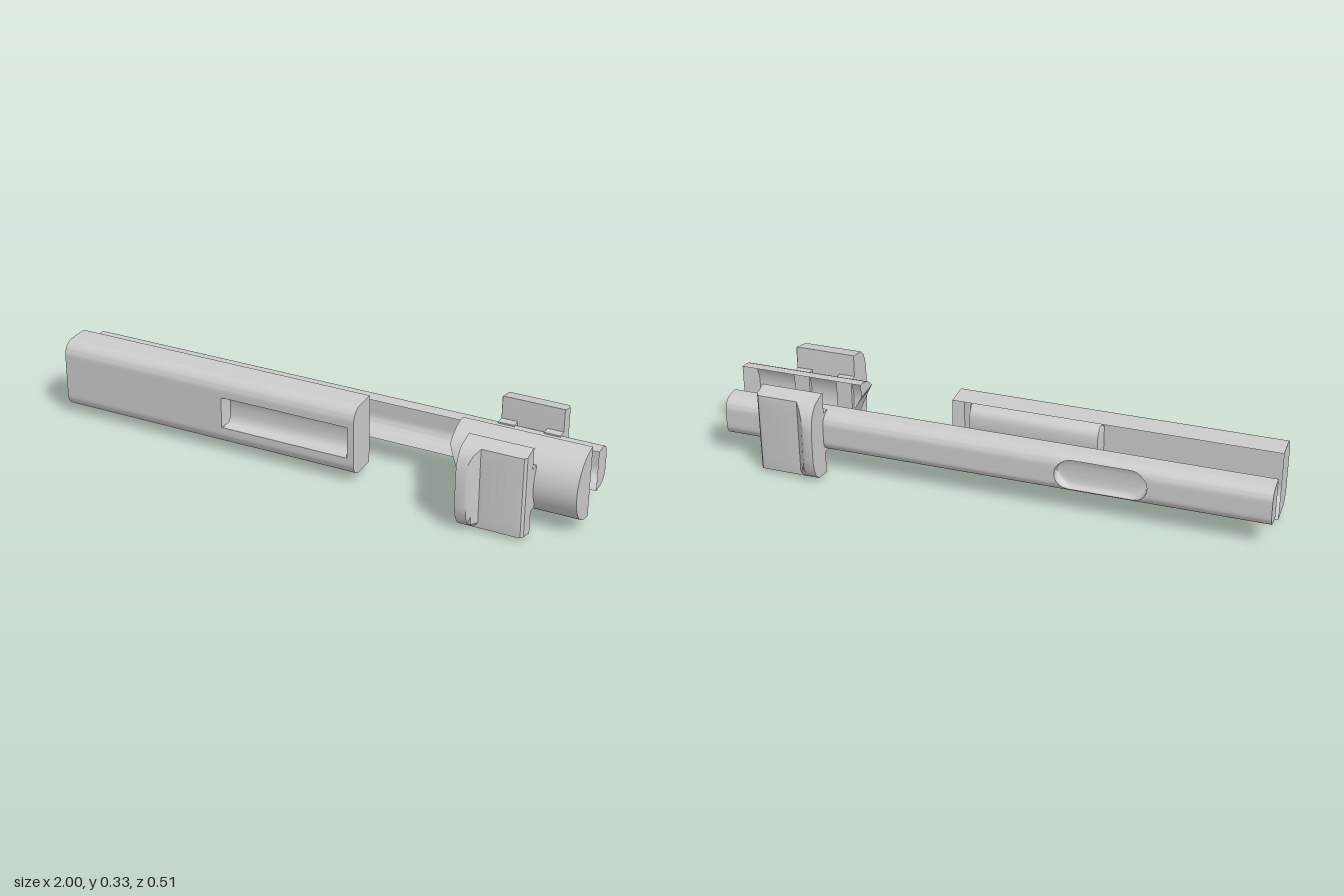
import * as THREE from 'three';
import { toCreasedNormals } from 'three/addons/utils/BufferGeometryUtils.js';

const MID = 0.165; // height of the long axis
const material = new THREE.MeshStandardMaterial({ color: 0xcccccc, side: THREE.DoubleSide });

// Skin over sections that follow each other along x; the ends are closed back to z = base.
// side = -1 mirrors the part to the back.
function loft(name, sections, base, side = 1) {
  const pos = [];
  const tri = (a, b, c) => {
    const pts = (side > 0 ? [a, b, c] : [a, c, b]).map(p => new THREE.Vector3(p[0], p[1], p[2] * side));
    if (new THREE.Triangle(...pts).getArea() > 1e-9) pts.forEach(p => pos.push(p.x, p.y, p.z));
  };
  const quad = (a, b, c, d) => { tri(a, b, c); tri(c, b, d); };
  const flat = p => [p[0], p[1], base];
  const last = sections[sections.length - 1];
  for (let j = 0; j < last.length - 1; j++) {
    for (let i = 0; i < sections.length - 1; i++) {
      const s = sections[i], t = sections[i + 1];
      quad(s[j], s[j + 1], t[j], t[j + 1]);
    }
    const f = sections[0];
    quad(f[j], flat(f[j]), f[j + 1], flat(f[j + 1]));
    quad(last[j], last[j + 1], flat(last[j]), flat(last[j + 1]));
  }
  const geo = new THREE.BufferGeometry();
  geo.setAttribute('position', new THREE.Float32BufferAttribute(pos, 3));
  const mesh = new THREE.Mesh(toCreasedNormals(geo, 0.6), material);
  mesh.name = name;
  return mesh;
}

// Half-round section, open at z = base: half height H, front at z = front, corner radius r.
// A recess of half height h and given depth is pressed into its front.
function section(x, { H, base, front, r }, h = 0, depth = 0) {
  const surf = y => {
    const over = Math.max(0, Math.abs(y) - (H - r));
    return front - r + Math.sqrt(Math.max(0, r * r - over * over));
  };
  const upper = [[H, base]];
  for (let i = 0; i <= 12; i++) {
    const y = h + (H - h) * Math.cos((i / 12) * Math.PI / 2);
    upper.push([H - (H - y), surf(y)]);
  }
  upper[1] = [H, surf(H)];
  for (const u of [0.97, 0.88, 0.7, 0.4, 0]) {
    upper.push([u * h, surf(u * h) - depth * Math.sqrt(1 - u ** 4)]);
  }
  const lower = upper.slice(0, -1).reverse().map(([y, z]) => [-y, z]);
  return [...upper, ...lower].map(([y, z]) => [typeof x === 'function' ? x(y) : x, MID + y, z]);
}

// Grip plate with a raised lip at one end, carried on two feet
function clamp(side) {
  const group = new THREE.Group();
  group.name = side > 0 ? 'frontClamp' : 'backClamp';
  const half = [[0.08, 0.145], [0.163, 0.15], [0.15, 0.213], [0.13, 0.235], [0.10, 0.25], [0.06, 0.257]];
  const profile = [...half, ...half.slice().reverse().map(([y, z]) => [-y, z]), half[0]];
  // [x, greatest z at that x]
  const stations = [[0.62, 0.257], [0.65, 0.257], [0.66, 0.252], [0.672, 0.236],
    [0.69, 0.215], [0.825, 0.215], [0.84, 0.211], [0.848, 0.2]];
  group.add(loft('gripPlate', stations.map(([x, top]) =>
    profile.map(([y, z]) => [x, MID + y, Math.min(z, top)])), 0.145, side));
  for (const x of [0.65, 0.818]) {
    const foot = new THREE.Mesh(new THREE.BoxGeometry(0.06, 0.16, 0.038), material);
    foot.position.set(x, MID, side * 0.132);
    foot.name = 'clampFoot';
    group.add(foot);
  }
  return group;
}

export function createModel() {
  const model = new THREE.Group();

  // Front cover with a long finger recess
  const cover = { H: 0.132, base: 0, front: 0.129, r: 0.05 };
  model.add(loft('frontCover', [[-1, 0], [-0.34, 0], [-0.33, 0.05], [0.15, 0.05], [0.16, 0], [0.185, 0]]
    .map(([x, depth]) => section(x, cover, 0.06, depth)), 0));

  // Half-round nose with a sweeping cut end
  const nose = { H: 0.132, base: 0, front: 0.132, r: 0.132 };
  const cut = y => 0.535 + 0.085 * Math.pow(Math.min(1, Math.max(0, (0.075 - y) / 0.207)), 0.75);
  model.add(loft('frontNose', [section(cut, nose), section(1, nose)], 0));

  // Back bar with a rounded slot recess
  const bar = { H: 0.075, base: 0.073, front: 0.158, r: 0.045 };
  const R = 0.058, x0 = -0.57, x1 = -0.24, N = 8, depth = 0.035;
  const stations = [section(-1, bar), section(x0, bar)];
  for (let i = 0; i <= N; i++) {
    const a = (i / N) * Math.PI / 2;
    stations.push(section(x0 + R * (1 - Math.cos(a)), bar, R * Math.sin(a), depth));
  }
  for (let i = N; i >= 0; i--) {
    const a = (i / N) * Math.PI / 2;
    stations.push(section(x1 - R * (1 - Math.cos(a)), bar, R * Math.sin(a), depth));
  }
  stations.push(section(x1, bar), section(1, bar));
  model.add(loft('backBar', stations, bar.base, -1));

  model.add(clamp(1), clamp(-1));
  return model;
}
